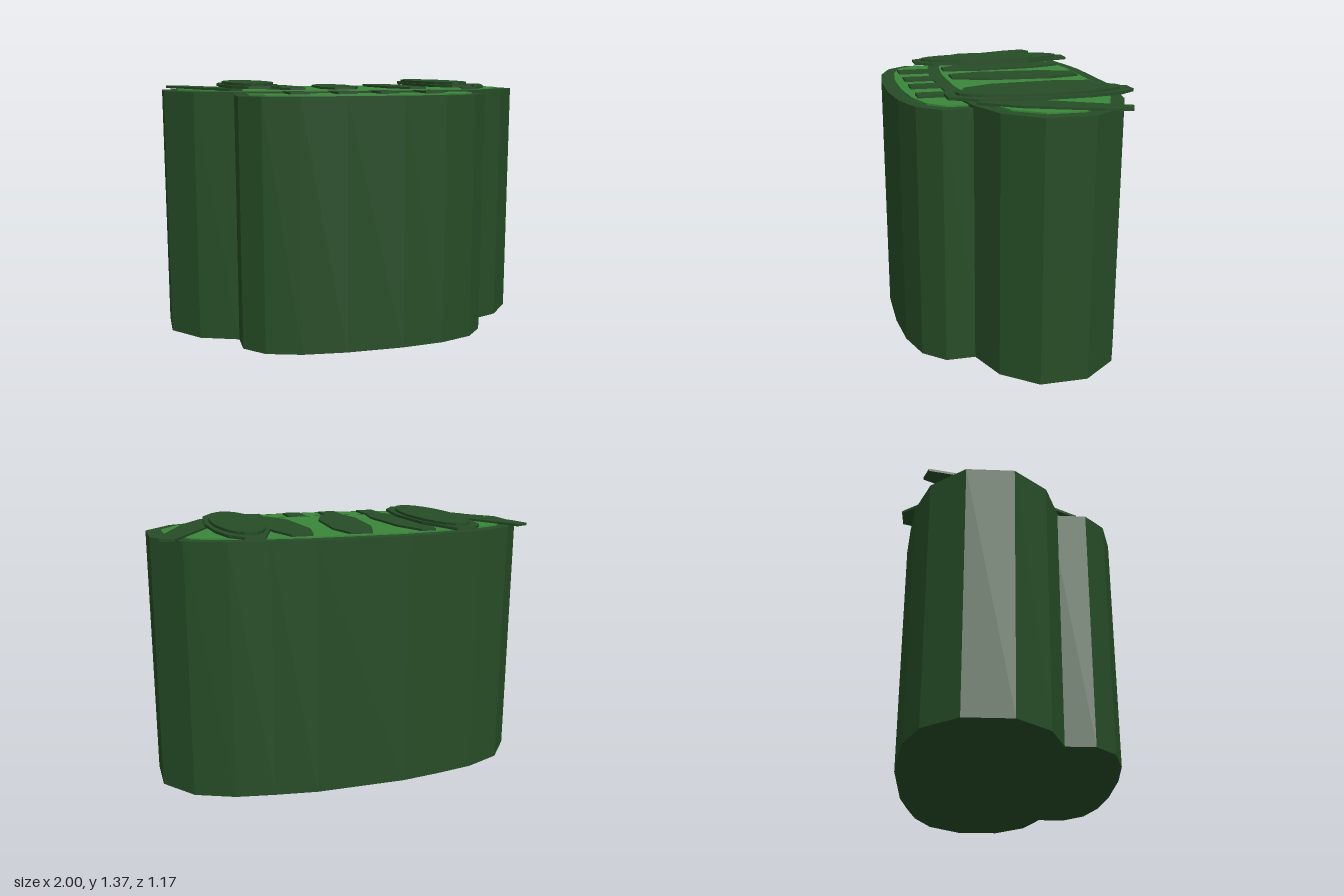
import * as THREE from 'three';

const darkGreen = new THREE.MeshStandardMaterial({ color: 0x264c26 });
darkGreen.name = 'dark green';
const brightGreen = new THREE.MeshStandardMaterial({ color: 0x3a863a });
brightGreen.name = 'bright green';

// Plan outline from [x, z] points
const outline = (points) => new THREE.Shape(points.map(([x, z]) => new THREE.Vector2(x, -z)));
const flip = (points) => points.map(([x, z]) => [-x, z]);
// Closes a right-hand half outline symmetrically across x = 0
const mirrored = (half) => [...half, ...flip(half).reverse()];

// Upright prism between two heights
function prism(name, shape, bottom, top, material, segments = 12) {
  const geometry = new THREE.ExtrudeGeometry(shape, {
    depth: top - bottom, bevelEnabled: false, curveSegments: segments,
  });
  geometry.rotateX(-Math.PI / 2);
  geometry.translate(0, bottom, 0);
  const mesh = new THREE.Mesh(geometry, material);
  mesh.name = name;
  return mesh;
}

export function createModel() {
  const model = new THREE.Group();
  model.name = 'model';

  // Main body and the narrower front block
  const body = mirrored([
    [0.24, -0.58], [0.46, -0.55], [0.66, -0.515], [0.86, -0.43], [1, -0.25], [1, -0.01],
    [0.86, 0.16], [0.66, 0.24], [0.42, 0.285], [0.19, 0.31],
  ]);
  const front = mirrored([
    [0.66, 0.2], [0.66, 0.39], [0.56, 0.5], [0.38, 0.56], [0.15, 0.585],
  ]);
  model.add(prism('mainBody', outline(body), 0, 1.32, darkGreen));
  model.add(prism('frontBlock', outline(front), 0, 1.305, darkGreen));

  // Bright inset panels
  const bodyPanel = mirrored([
    [0.24, -0.51], [0.45, -0.485], [0.64, -0.45], [0.82, -0.38], [0.925, -0.22], [0.925, -0.04],
    [0.82, 0.1], [0.64, 0.175], [0.41, 0.22], [0.18, 0.243],
  ]);
  const frontPanel = mirrored([
    [0.6, 0.22], [0.6, 0.36], [0.53, 0.44], [0.36, 0.49], [0.14, 0.512],
  ]);
  model.add(prism('mainPanel', outline(bodyPanel), 1.318, 1.327, brightGreen));
  model.add(prism('frontPanel', outline(frontPanel), 1.304, 1.313, brightGreen));

  // Row of short bars on the front panel
  for (const x of [-0.36, -0.115, 0.105, 0.35]) {
    const bar = [[x - 0.05, 0.25], [x + 0.05, 0.25], [x + 0.05, 0.465], [x - 0.05, 0.465]];
    model.add(prism('frontBar', outline(bar), 1.309, 1.324, darkGreen));
  }

  // Leaf-shaped stripes across the main panel
  const sideStripe = [
    [0.9, -0.465], [0.97, -0.435], [0.945, -0.31], [0.805, 0.04], [0.68, 0.23],
    [0.61, 0.2], [0.68, -0.06], [0.84, -0.35],
  ];
  const stripes = {
    centreStripe: [
      [-0.08, -0.485], [0.04, -0.485], [0.08, -0.32], [0.06, 0.02],
      [-0.01, 0.215], [-0.12, 0.215], [-0.16, 0.04], [-0.135, -0.3],
    ],
    leftInnerStripe: [
      [0.23, -0.485], [0.34, -0.485], [0.39, -0.32], [0.43, 0.02],
      [0.39, 0.215], [0.3, 0.215], [0.225, 0.06], [0.195, -0.31],
    ],
    rightInnerStripe: [
      [-0.42, -0.485], [-0.34, -0.485], [-0.28, -0.31], [-0.25, 0.03],
      [-0.28, 0.215], [-0.36, 0.215], [-0.46, 0.04], [-0.46, -0.3],
    ],
    leftOuterStripe: sideStripe,
    rightOuterStripe: flip(sideStripe),
  };
  for (const [name, points] of Object.entries(stripes)) {
    model.add(prism(name, outline(points), 1.325, 1.338, darkGreen));
  }

  // Stepped ovals, one on each side
  const ovalBase = [
    [0.49, -0.59], [0.59, -0.59], [0.655, -0.5], [0.69, -0.33], [0.703, -0.08], [0.67, 0.22],
    [0.6, 0.35], [0.49, 0.35], [0.425, 0.25], [0.392, 0], [0.41, -0.33],
  ];
  for (const side of [1, -1]) {
    const oval = new THREE.Group();
    oval.name = side > 0 ? 'leftOval' : 'rightOval';
    const base = side > 0 ? ovalBase : flip(ovalBase);
    const raised = new THREE.Shape();
    raised.absellipse(side * 0.545, 0.115, 0.13, 0.42, 0, Math.PI * 2);
    oval.add(prism('ovalBase', outline(base), 1.338, 1.352, darkGreen));
    oval.add(prism('ovalTop', raised, 1.35, 1.365, darkGreen));
    model.add(oval);
  }

  return model;
}
